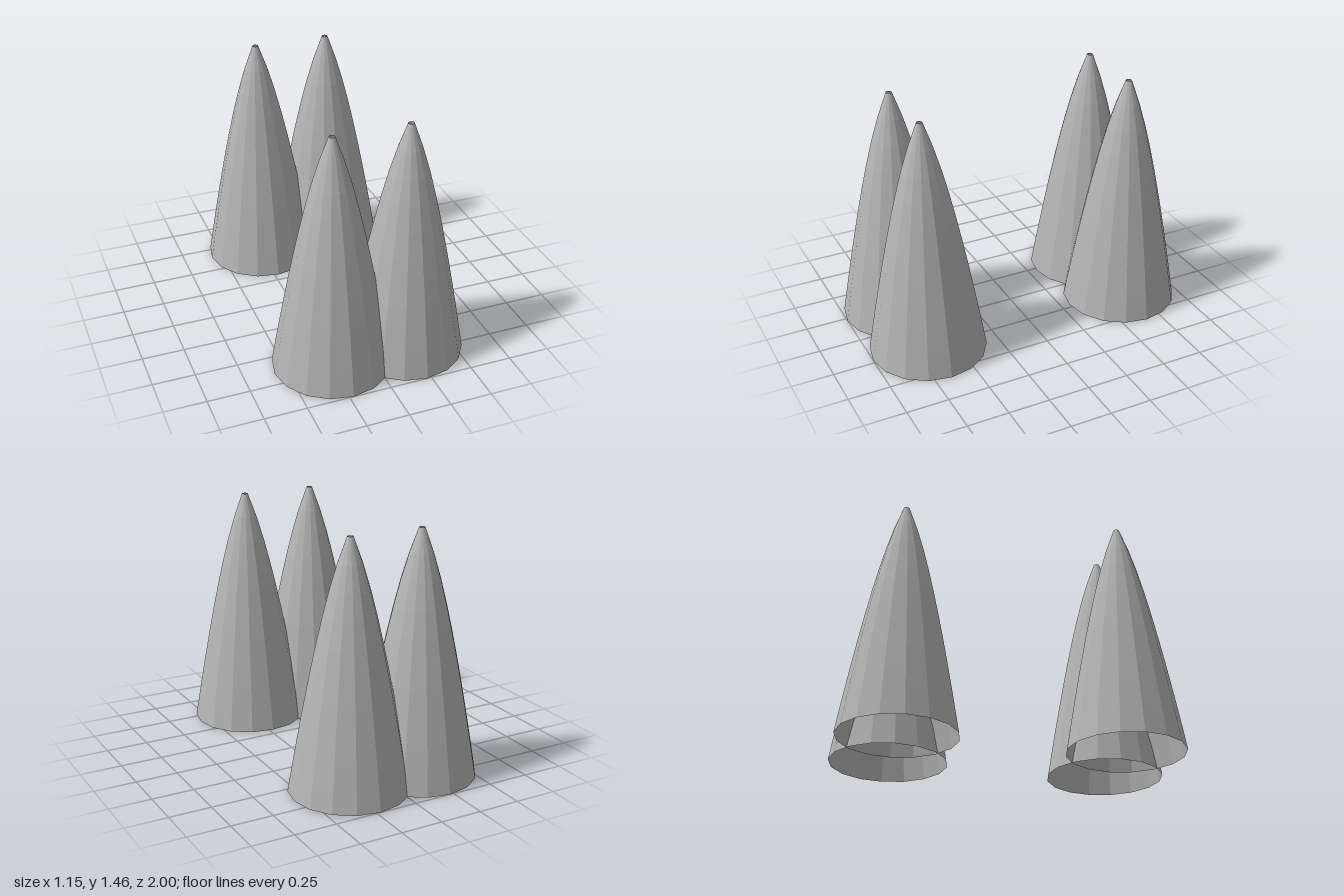
import * as THREE from 'three';

const HEIGHT = 1.456, RADIUS = 0.347, SIDES = 16, RINGS = 10;

export function createModel() {
  const model = new THREE.Group();
  model.name = 'spireCluster';

  const grey = new THREE.MeshStandardMaterial({ color: 0xb4b4b4 });
  grey.name = 'grey';
  grey.flatShading = true;
  grey.side = THREE.DoubleSide;

  // Bulging cone profile, open at the base and at the small tip
  const profile = [];
  for (let i = 0; i <= RINGS; i++) {
    const t = i / RINGS;
    const r = RADIUS * Math.max(0.05, Math.pow(1 - t, 0.7));
    profile.push(new THREE.Vector2(r, HEIGHT * t));
  }
  const spire = new THREE.LatheGeometry(profile, SIDES);

  // Two overlapping spires at the front and two at the back
  for (const [zName, z] of [['front', 0.653], ['back', -0.653]]) {
    for (const [xName, x] of [['Left', 0.226], ['Right', -0.226]]) {
      const mesh = new THREE.Mesh(spire, grey);
      mesh.name = `${zName}${xName}Spire`;
      mesh.position.set(x, 0, z);
      model.add(mesh);
    }
  }
  return model;
}
